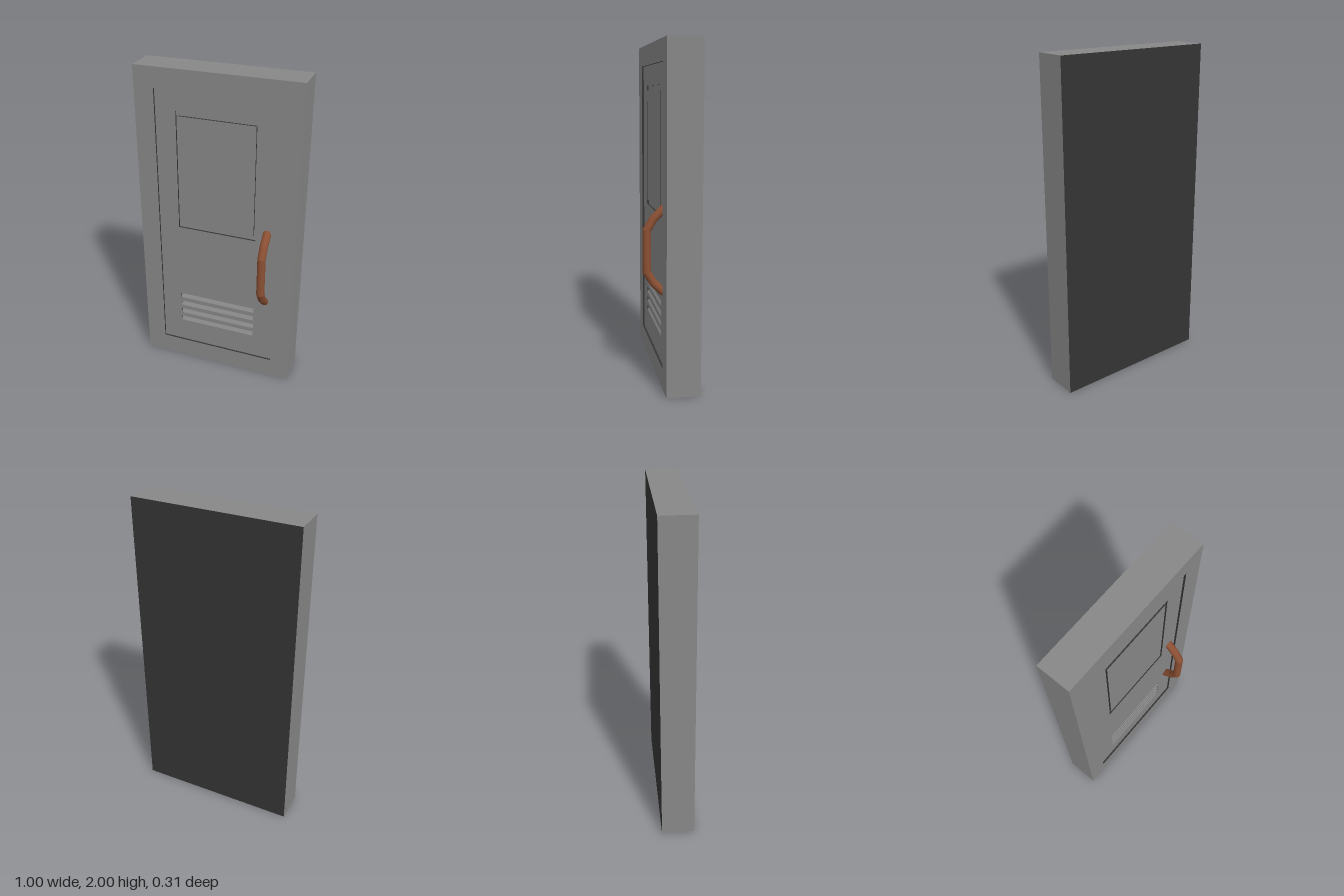
import * as THREE from 'three';
import { toCreasedNormals } from 'three/addons/utils/BufferGeometryUtils.js';

const paint = (name, color) => Object.assign(new THREE.MeshStandardMaterial({ color }), { name });
const grey = paint('grey paint', 0x878787);
const dark = paint('dark grey', 0x343434);
const brown = paint('brown handle', 0x8a4f33);

const BACK = -0.1525, BASE = 0.0075, PANEL = 0.0355, FRONT = 0.0475, GROOVE = PANEL - 0.012;

function add(parent, name, geometry, material) {
  const mesh = new THREE.Mesh(geometry, material);
  mesh.name = name;
  parent.add(mesh);
}

// Rectangle outline, usable as a shape or a hole
function rect(Type, x0, y0, x1, y1) {
  const p = new Type();
  p.moveTo(x0, y0);
  p.lineTo(x1, y0);
  p.lineTo(x1, y1);
  p.lineTo(x0, y1);
  return p;
}

// Plate with rectangular holes; material groups: 0 faces, 1 outer edges, 2 hole walls
function plate(outline, holes, z0, z1) {
  const shape = rect(THREE.Shape, ...outline);
  for (const h of holes) shape.holes.push(rect(THREE.Path, ...h));
  const g = new THREE.ExtrudeGeometry(shape, { depth: z1 - z0, bevelEnabled: false }).translate(0, 0, z0);
  const edges = g.groups[1];
  edges.count = 24;
  if (holes.length) g.addGroup(edges.start + 24, 24 * holes.length, 2);
  return g;
}

// Oval bar swept along [y, z] points, mitred at every bend
function sweptBar(points, x, rx, rn, sides) {
  const pts = points.map(([y, z]) => new THREE.Vector2(y, z));
  const pos = [], index = [];
  pts.forEach((p, i) => {
    const a = p.clone().sub(pts[Math.max(i - 1, 0)]).normalize();
    const b = pts[Math.min(i + 1, pts.length - 1)].clone().sub(p).normalize();
    const t = a.clone().add(b).normalize();
    const mitre = rn / Math.max(t.dot(i ? a : b), 0.5);
    for (let k = 0; k < sides; k++) {
      const u = (k / sides) * Math.PI * 2;
      const s = Math.sin(u) * mitre;
      pos.push(x + Math.cos(u) * rx, p.x - t.y * s, p.y + t.x * s);
      if (i === 0) continue;
      const k2 = (k + 1) % sides, r0 = (i - 1) * sides, r1 = i * sides;
      index.push(r0 + k, r1 + k2, r0 + k2, r0 + k, r1 + k, r1 + k2);
    }
  });
  const g = new THREE.BufferGeometry();
  g.setAttribute('position', new THREE.Float32BufferAttribute(pos, 3));
  g.setIndex(index);
  return toCreasedNormals(g, 0.2);
}

export function createModel() {
  const door = new THREE.Group();
  door.name = 'door';

  // Slab with a dark back, and the surrounding frame
  const opening = [-0.377, 0.125, 0.377, 1.877];
  const slab = new THREE.BoxGeometry(1, 2, BASE - BACK).translate(0, 1, (BASE + BACK) / 2);
  add(door, 'slab', slab, [grey, grey, grey, grey, grey, dark]);
  add(door, 'frame', plate([-0.5, 0, 0.5, 2], [opening], BASE, FRONT), [grey, grey, dark]);

  // Recessed panel, pierced for the window and the vents
  const windowHole = [-0.25, 1.0, 0.25, 1.755];
  const vents = [0, 1, 2, 3].map((i) => [-0.25, 0.283 + i * 0.0615, 0.25, 0.316 + i * 0.0615]);
  add(door, 'panel', plate(opening, [windowHole, ...vents], BASE, PANEL), [grey, grey, dark]);

  // Window pane standing inside its groove
  add(door, 'windowGroove', plate(windowHole, [], BASE, GROOVE), [grey, grey]);
  add(door, 'windowPane', plate([-0.235, 1.03, 0.235, 1.725], [], GROOVE, PANEL), [grey, dark]);

  // Sloped vent slats
  for (const [x0, y0, x1, y1] of vents) {
    const wedge = new THREE.Shape([
      new THREE.Vector2(-BASE, y0), new THREE.Vector2(-BASE, y1),
      new THREE.Vector2(-BASE - 0.003, y1), new THREE.Vector2(-PANEL, y0),
    ]);
    const g = new THREE.ExtrudeGeometry(wedge, { depth: x1 - x0, bevelEnabled: false });
    add(door, 'ventSlat', g.rotateY(Math.PI / 2).translate(x0, 0, 0), grey);
  }

  // Bent pull handle
  const half = [[0.123, 0.1285], [0.186, 0.092], [0.232, 0.046], [0.251, 0.022]];
  const mid = 0.818;
  const path = [
    ...half.slice().reverse().map(([y, z]) => [mid - y, z]),
    ...half.map(([y, z]) => [mid + y, z]),
  ];
  add(door, 'handle', sweptBar(path, 0.318, 0.025, 0.024, 36), brown);

  return door;
}
